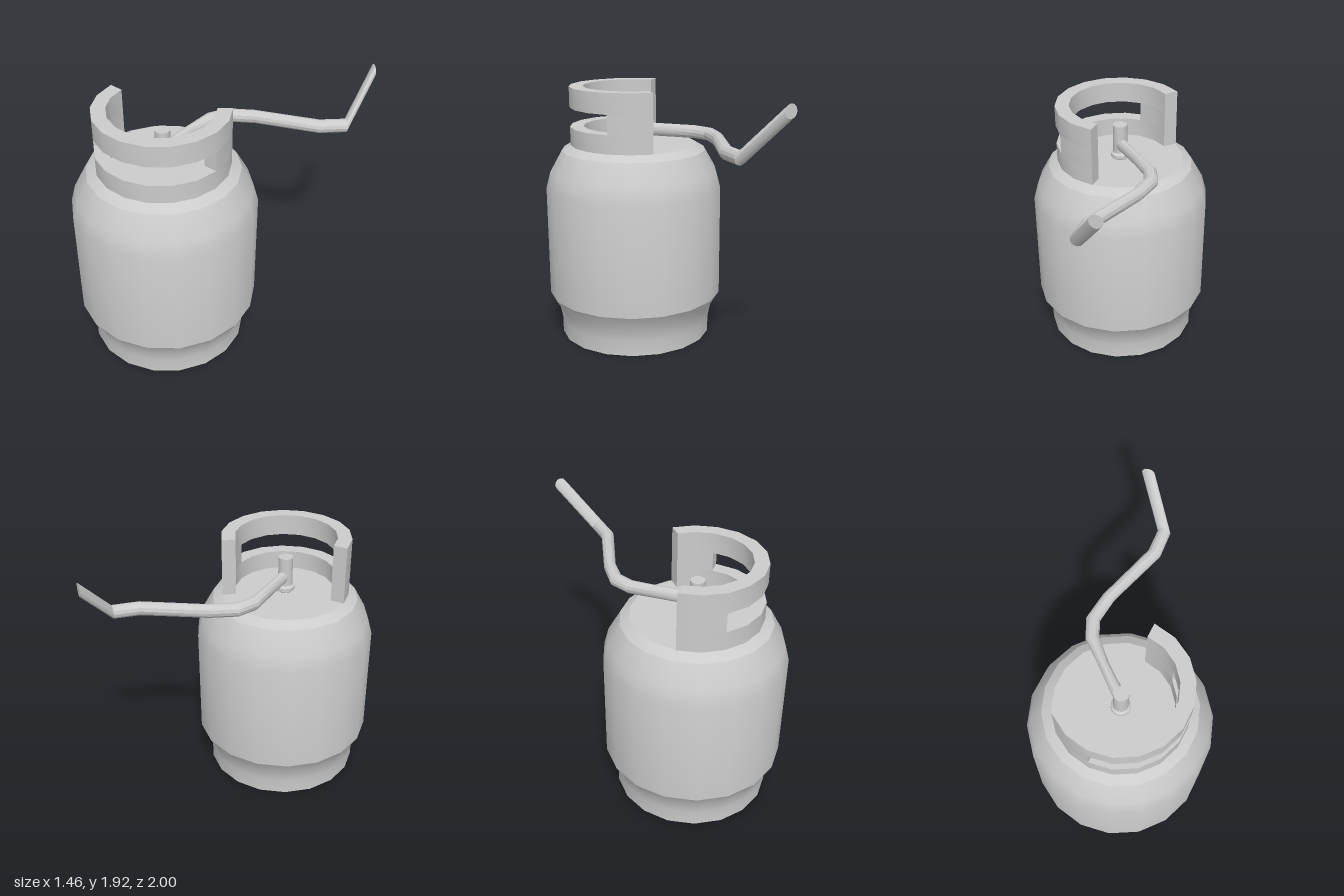
import * as THREE from 'three';
import { toCreasedNormals } from 'three/addons/utils/BufferGeometryUtils.js';

const SIDES = 18;
const STEP = (Math.PI * 2) / SIDES;
const CREASE = 0.49;

export function createModel() {
  const model = new THREE.Group();
  model.name = 'gasBottle';
  const grey = new THREE.MeshStandardMaterial({ color: 0xcccccc });

  const add = (parent, name, geometry) => {
    const mesh = new THREE.Mesh(toCreasedNormals(geometry, CREASE), grey);
    mesh.name = name;
    parent.add(mesh);
    return mesh;
  };
  const lathe = (profile, sides) => new THREE.LatheGeometry(
    profile.map(([r, y]) => new THREE.Vector2(r, y)), sides, Math.PI / 2);

  // Everything but the hose turns about the bottle's axis
  const bottle = new THREE.Group();
  bottle.name = 'bottle';
  bottle.position.set(-0.085, 0, 0.362);
  model.add(bottle);

  // Tank with foot and rounded shoulder
  add(bottle, 'tank', lathe([
    [0, 0], [0.565, 0], [0.565, 0.115], [0.585, 0.215], [0.65, 0.325],
    [0.65, 1.14], [0.617, 1.26], [0.53, 1.415], [0.46, 1.457], [0, 1.457],
  ], SIDES));

  // Guard collar: two rails joined by a pillar at each end, open at the back
  const collar = new THREE.Group();
  collar.name = 'guardCollar';
  bottle.add(collar);
  const arc = (name, from, to, bottom, top) => {
    const outline = [];
    for (let i = from; i <= to; i++) outline.push([0.462, i]);
    for (let i = to; i >= from; i--) outline.push([0.362, i]);
    const shape = new THREE.Shape(outline.map(([r, i]) =>
      new THREE.Vector2(r * Math.cos(i * STEP), r * Math.sin(i * STEP))));
    const geometry = new THREE.ExtrudeGeometry(shape, { depth: top - bottom, bevelEnabled: false });
    geometry.rotateX(Math.PI / 2).translate(0, top, 0);
    add(collar, name, geometry);
  };
  arc('lowerRail', -2, 9, 1.45, 1.59);
  arc('upperRail', -2, 9, 1.73, 1.88);
  arc('leftPillar', -2, 0, 1.59, 1.73);
  arc('rightPillar', 7, 9, 1.59, 1.73);

  // Valve stem with a flange at its foot
  add(bottle, 'valve', lathe([
    [0.052, 1.45], [0.068, 1.465], [0.068, 1.49], [0.052, 1.505],
    [0.052, 1.715], [0, 1.715],
  ], 16));

  // Hose: upright rings given by their left and right edge and height
  const rings = [
    [-0.122, 0.36, -0.04, 0.36, 1.567],
    [-0.123, 0.08, -0.05, 0.08, 1.567],
    [-0.13, -0.13, -0.04, -0.106, 1.567],
    [-0.066, -0.275, 0.013, -0.217, 1.567],
    [0.1, -0.386, 0.167, -0.323, 1.567],
    [0.526, -0.577, 0.585, -0.503, 1.567],
    [0.653, -0.698, 0.724, -0.64, 1.567],
    [0.653, -1.0, 0.724, -0.942, 1.87],
  ];
  add(model, 'hose', sweep(rings, 0.047, 12));

  return model;
}

// Skins a row of upright rings and closes both ends
function sweep(rings, halfHeight, sides) {
  const positions = [];
  const index = [];
  for (const [lx, lz, rx, rz, y] of rings) {
    for (let j = 0; j < sides; j++) {
      const a = (j / sides) * Math.PI * 2;
      const t = 0.5 + 0.5 * Math.cos(a);
      positions.push(lx + (rx - lx) * t, y + halfHeight * Math.sin(a), lz + (rz - lz) * t);
    }
  }
  for (let i = 0; i < rings.length - 1; i++) {
    for (let j = 0; j < sides; j++) {
      const a = i * sides + j;
      const b = i * sides + (j + 1) % sides;
      index.push(a, a + sides, b, b, a + sides, b + sides);
    }
  }
  const last = (rings.length - 1) * sides;
  for (let j = 1; j < sides - 1; j++) {
    index.push(0, j, j + 1, last, last + j + 1, last + j);
  }
  const geometry = new THREE.BufferGeometry();
  geometry.setAttribute('position', new THREE.Float32BufferAttribute(positions, 3));
  geometry.setIndex(index);
  return geometry;
}
